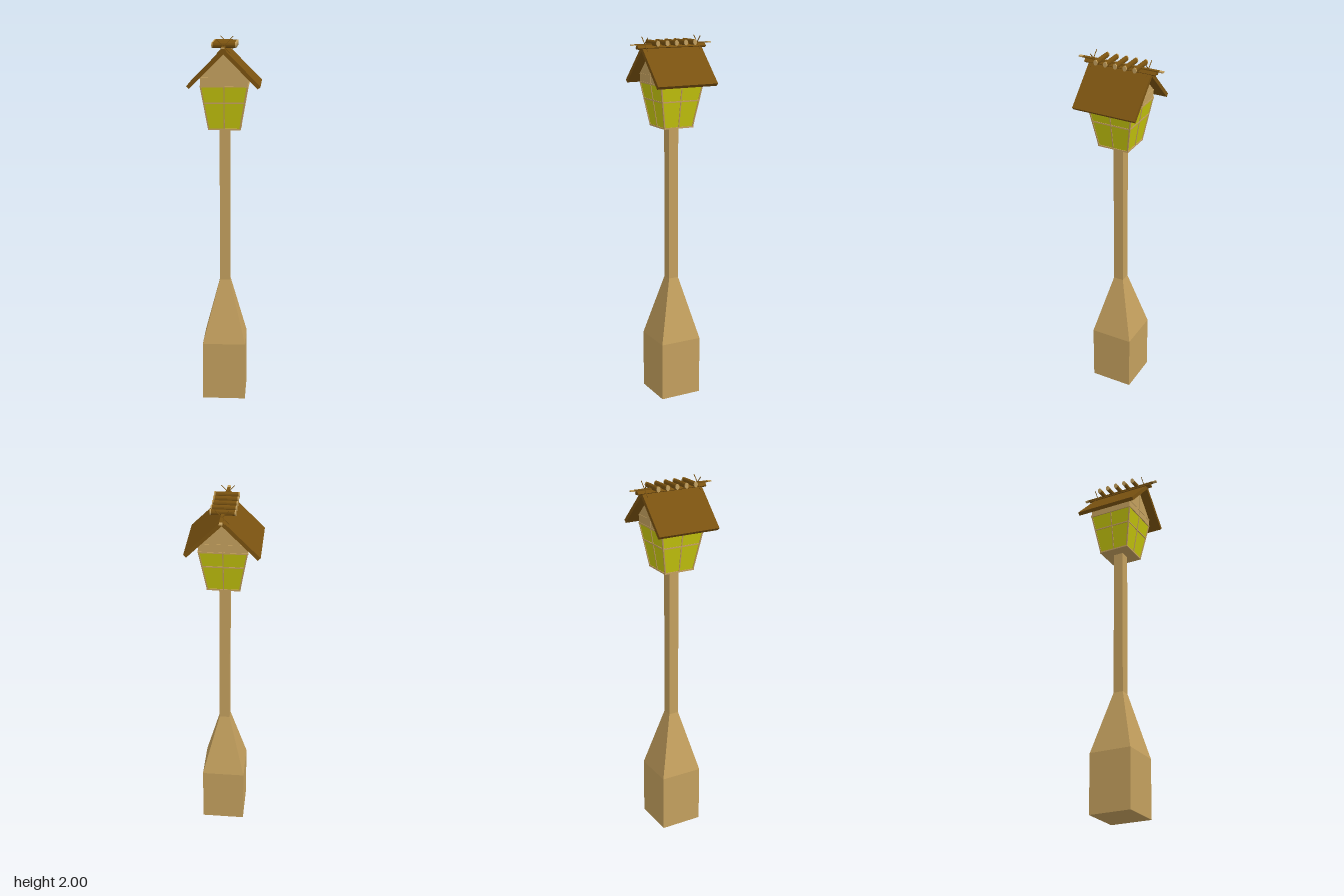
import * as THREE from 'three';

const mat = (color) => new THREE.MeshStandardMaterial({ color, flatShading: true });
const tan = mat(0xc4a05e), brown = mat(0x7a5210), yellow = mat(0xc8c80e);

export function createModel() {
  const model = new THREE.Group();
  const add = (name, geometry, material, parent = model) => {
    const mesh = new THREE.Mesh(geometry, material);
    mesh.name = name;
    parent.add(mesh);
    return mesh;
  };
  const box = (name, w, h, d, x, y, z, material, parent) => {
    const mesh = add(name, new THREE.BoxGeometry(w, h, d), material, parent);
    mesh.position.set(x, y, z);
    return mesh;
  };
  // square frustum from half-width a at y0 to half-width b at y1
  const frustum = (name, a, b, y0, y1, material) => {
    const g = new THREE.CylinderGeometry(b * Math.SQRT2, a * Math.SQRT2, y1 - y0, 4);
    g.rotateY(Math.PI / 4);
    g.translate(0, (y0 + y1) / 2, 0);
    return add(name, g, material);
  };
  // outline in x/y pulled along z, centred on z = 0
  const prism = (name, points, depth, material) => {
    const shape = new THREE.Shape(points.map((p) => new THREE.Vector2(...p)));
    const g = new THREE.ExtrudeGeometry(shape, { depth, bevelEnabled: false });
    g.translate(0, 0, -depth / 2);
    return add(name, g, material);
  };
  // 45 degree folded sheet: apex height, half-span, thickness
  const chevron = (name, top, half, t, depth) => {
    const k = t * Math.SQRT1_2;
    prism(name, [
      [0, top], [-half, top - half], [-half + k, top - half - k],
      [0, top - 2 * k], [half - k, top - half - k], [half, top - half],
    ], depth, brown);
  };

  // post
  frustum('postBase', 0.118, 0.118, 0, 0.325, tan);
  frustum('postTaper', 0.118, 0.028, 0.325, 0.675, tan);
  frustum('postShaft', 0.028, 0.028, 0.675, 1.53, tan);

  // lantern: floor, glass and gabled head
  const y0 = 1.53, y1 = 1.757, r0 = 0.083, r1 = 0.122;
  frustum('lanternFloor', 0.087, 0.087, 1.524, 1.532, tan);
  frustum('lanternGlass', r0, r1, y0, y1, yellow);
  prism('gableHead', [
    [-0.124, 1.755], [0.124, 1.755], [0.124, 1.803], [0, 1.927], [-0.124, 1.803],
  ], 0.248, tan);

  // glazing bars, the same on all four sides
  const radius = (y) => r0 + ((r1 - r0) * (y - y0)) / (y1 - y0);
  const bar = (name, a, b, w, parent) => {
    const mesh = box(name, w, a.distanceTo(b), w, 0, 0, 0, tan, parent);
    mesh.position.copy(a).lerp(b, 0.5);
    mesh.quaternion.setFromUnitVectors(new THREE.Vector3(0, 1, 0), b.clone().sub(a).normalize());
  };
  for (let i = 0; i < 4; i++) {
    const side = new THREE.Group();
    side.name = 'windowFrame';
    side.rotation.y = (i * Math.PI) / 2;
    model.add(side);
    const V = (x, y, z) => new THREE.Vector3(x, y, z);
    bar('cornerBar', V(r0, y0, r0), V(r1, y1, r1), 0.007, side);
    bar('middleBar', V(0, y0, r0), V(0, y1, r1), 0.006, side);
    const m = radius(1.67);
    bar('crossBar', V(-m, 1.67, m), V(m, 1.67, m), 0.007, side);
    box('headRail', 0.252, 0.007, 0.006, 0, 1.757, 0.124, tan, side);
    box('eaveRail', 0.252, 0.007, 0.006, 0, 1.8, 0.123, tan, side);
  }
  for (const s of [-1, 1]) box('gableBar', 0.006, 0.155, 0.006, 0, 1.838, s * 0.124, tan);

  // roof, ridge cap and ridge board
  chevron('roof', 1.956, 0.192, 0.02, 0.35);
  chevron('ridgeCap', 1.964, 0.018, 0.011, 0.4);
  box('ridgeBoard', 0.017, 0.006, 0.43, 0, 1.963, 0, brown);

  for (const s of [-1, 1]) {
    box('ridgeBoardTip', 0.017, 0.006, 0.022, 0, 1.963, s * 0.226, tan);
    // crossed finials near each gable end
    for (const t of [-1, 1]) {
      const finial = box('crossedFinial', 0.003, 0.098, 0.003, 0, 1.965, s * 0.155, brown);
      finial.rotation.z = (t * Math.PI) / 4;
    }
  }

  // short logs across the ridge, with pale ends
  const log = (name, length, x, z, material) => {
    const mesh = add(name, new THREE.CylinderGeometry(0.0105, 0.0105, length, 12), material);
    mesh.geometry.rotateZ(Math.PI / 2);
    mesh.geometry.scale(1, 1.4, 1);
    mesh.position.set(x, 1.97, z);
  };
  for (let i = -2; i <= 2; i++) {
    log('ridgeLog', 0.116, 0, i * 0.0545, brown);
    for (const s of [-1, 1]) log('ridgeLogEnd', 0.007, s * 0.0615, i * 0.0545, tan);
  }
  return model;
}
